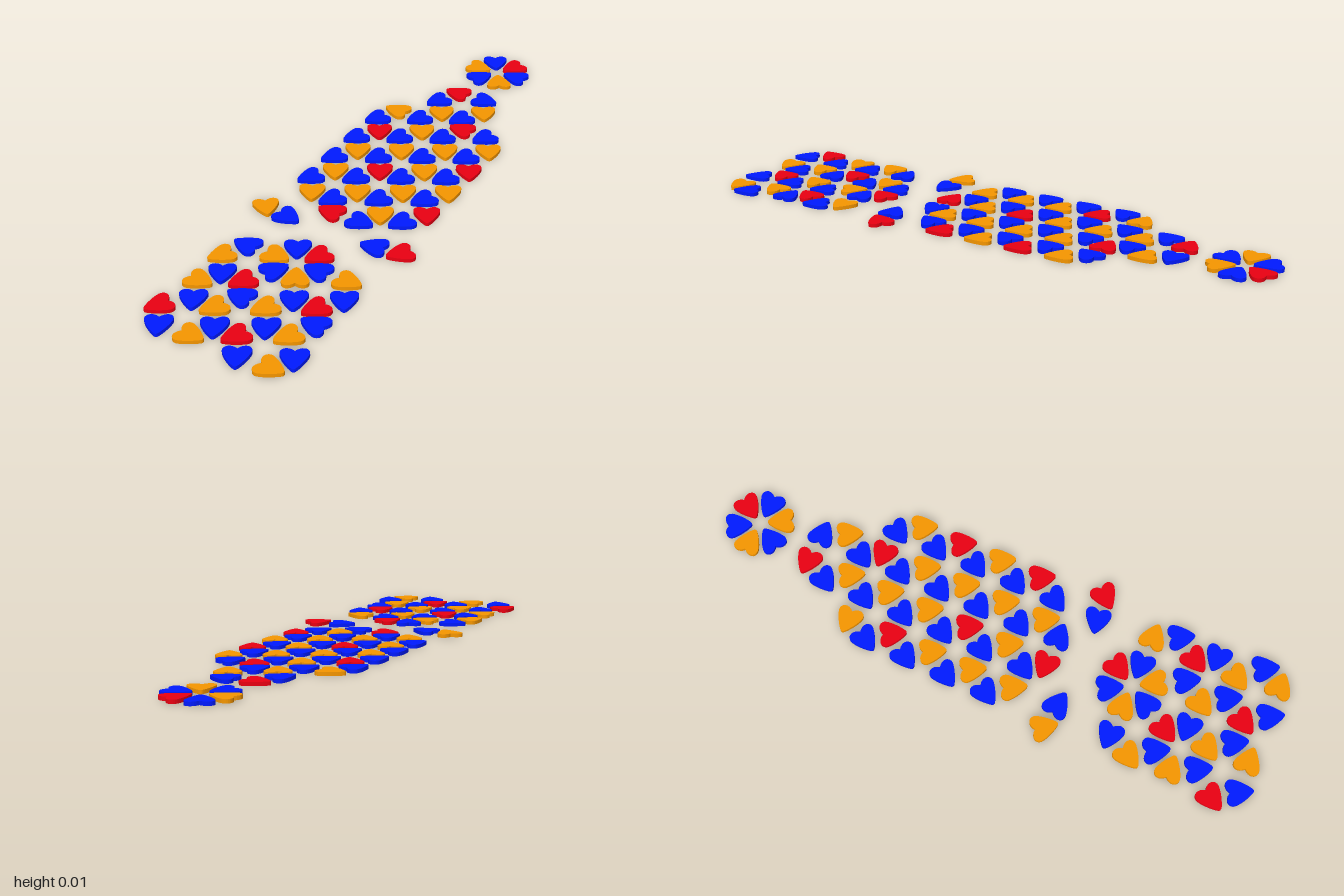
import * as THREE from 'three';

const THICK = 0.0125, ROW = 0.074, COL = 0.132;

const materials = {
  b: new THREE.MeshStandardMaterial({ color: 0x001aff }),
  o: new THREE.MeshStandardMaterial({ color: 0xf59600 }),
  r: new THREE.MeshStandardMaterial({ color: 0xea0012 }),
};
const colorNames = { b: 'blue', o: 'orange', r: 'red' };

// Flat heart tile, origin at the centre of its triangular cell, blunt tip towards +z
function heartGeometry() {
  const s = new THREE.Shape();
  s.moveTo(-0.007, -0.055);
  s.quadraticCurveTo(0, -0.062, 0.007, -0.055);
  s.bezierCurveTo(0.016, -0.046, 0.034, -0.02, 0.041, 0);
  s.bezierCurveTo(0.053, 0.026, 0.024, 0.044, 0, 0.019);
  s.bezierCurveTo(-0.024, 0.044, -0.053, 0.026, -0.041, 0);
  s.bezierCurveTo(-0.034, -0.02, -0.016, -0.046, -0.007, -0.055);
  const g = new THREE.ExtrudeGeometry(s, { depth: THICK, bevelEnabled: false, curveSegments: 10 });
  return g.rotateX(-Math.PI / 2);
}

// Tip direction in a cell whose flat side is on the left:
// o = outer corner, d = front corner, u = back corner
const tipAngle = { o: 90, d: -30, u: -150 };

// Each column: [column position, first row, tiles as colour + tip]
// blueSide: +1 when blue tiles have their cell's flat side on the left, else -1
const sections = [
  { name: 'head', z: -0.96, blueSide: -1, columns: [
    [-1, 0, 'bd oo bu'],
    [0, 0, 'rd bo ou'],
  ] },
  { name: 'body', z: -0.672, blueSide: 1, columns: [
    [-2, 3, 'oo bd rd bd od bd od bd od'],
    [-1, 0, 'ro bd od bd od bd od bd rd bd od bd ro'],
    [0, 0, 'bo od bd ro bd od bd od bd od bd od bo'],
    [1, 3, 'bd od bd rd bd od bd rd bd'],
  ] },
  // The feet (last two rows of the outer columns) spread slightly outwards
  { name: 'legs', z: 0.431, blueSide: -1, columns: [
    [-2, 1, 'bo od bd oo bd'],
    [-2.12, 6, 'rd bd'],
    [-1, 0, 'bd oo bu rd bo od bd oo'],
    [0, 0, 'rd bo ou bd od bd rd bd'],
    [1, 1, 'oo bd rd bo od'],
    [1.12, 6, 'bd oo'],
  ] },
];

export function createModel() {
  const model = new THREE.Group();
  const geometry = heartGeometry();

  const addHeart = (parent, color, x, z, degrees) => {
    const heart = new THREE.Mesh(geometry, materials[color]);
    heart.name = colorNames[color] + 'Heart';
    heart.position.set(x, 0, z);
    heart.rotation.y = THREE.MathUtils.degToRad(degrees);
    parent.add(heart);
  };

  // Head, body and legs on a grid of triangular cells
  for (const { name, z, blueSide, columns } of sections) {
    const section = new THREE.Group();
    section.name = name;
    for (const [col, firstRow, tiles] of columns) {
      tiles.split(' ').forEach(([color, tip], i) => {
        const side = color === 'b' ? blueSide : -blueSide;
        const x = (col + (side > 0 ? 1 / 3 : 2 / 3)) * COL;
        addHeart(section, color, x, z + (firstRow + i) * ROW, side * tipAngle[tip]);
      });
    }
    model.add(section);
  }

  // Arms: a tilted pair of tiles on each side
  for (const side of [-1, 1]) {
    const arm = new THREE.Group();
    arm.name = side < 0 ? 'rightArm' : 'leftArm';
    addHeart(arm, side < 0 ? 'o' : 'r', side * 0.26, 0.292, -side * 40);
    addHeart(arm, 'b', side * 0.174, 0.308, -side * 80);
    model.add(arm);
  }
  return model;
}
